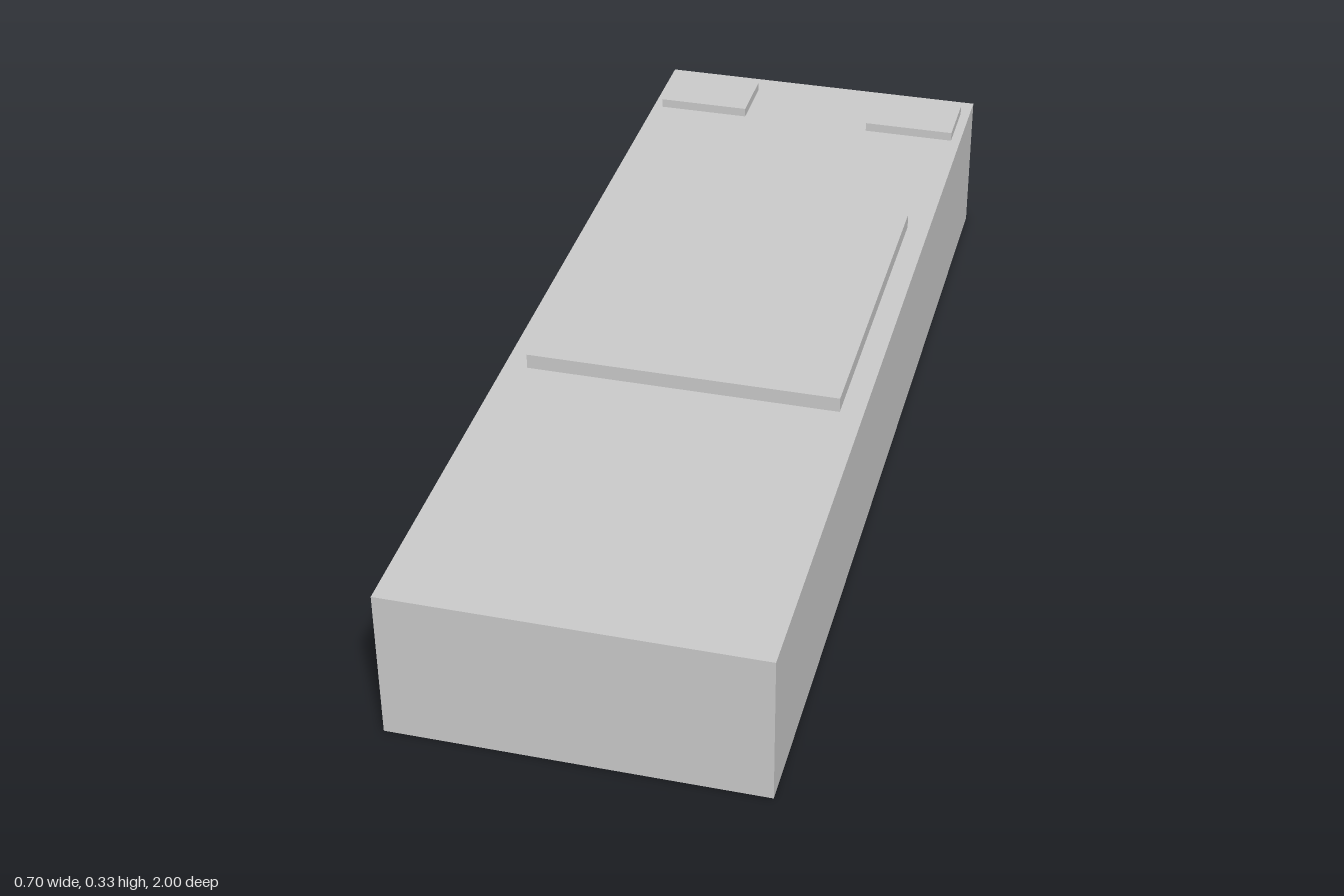
import * as THREE from 'three';

const material = new THREE.MeshStandardMaterial({ color: 0xcccccc, flatShading: true });

// Box resting on height y, centred on x and z
function addBlock(group, name, [w, h, d], [x, y, z]) {
  const mesh = new THREE.Mesh(new THREE.BoxGeometry(w, h, d), material);
  mesh.name = name;
  mesh.position.set(x, y + h / 2, z);
  group.add(mesh);
}

export function createModel() {
  const model = new THREE.Group();
  model.name = 'slab';

  // Long main block
  addBlock(model, 'body', [0.7, 0.3, 2], [0, 0, 0]);

  // Raised plate in the middle of the top
  addBlock(model, 'topPlate', [0.61, 0.03, 0.696], [0, 0.3, -0.074]);

  // Small pads in the two back corners
  for (const side of [1, -1]) {
    const name = side > 0 ? 'leftPad' : 'rightPad';
    addBlock(model, name, [0.192, 0.019, 0.13], [side * 0.234, 0.3, -0.88]);
  }

  return model;
}
